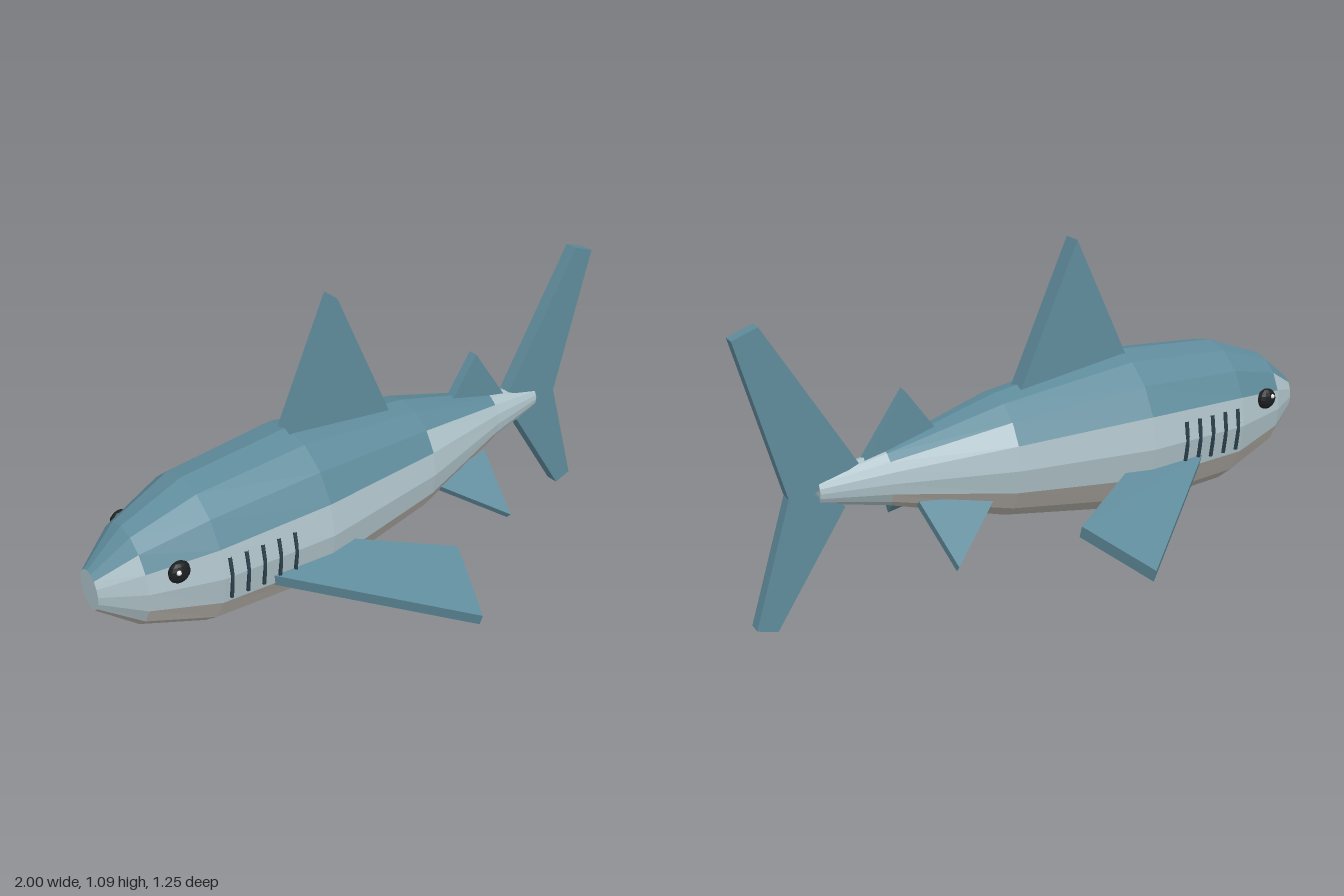
import * as THREE from 'three';

const mat = (name, color) => Object.assign(new THREE.MeshStandardMaterial({ color, flatShading: true }), { name });

// Body stations from nose to tail: x, half height, half width
const MID = 0.42;
const STATIONS = [
  [-1, 0, 0], [-1, 0.07, 0.05], [-0.88, 0.17, 0.13], [-0.67, 0.25, 0.205], [-0.29, 0.275, 0.235],
  [0.17, 0.203, 0.175], [0.55, 0.092, 0.07], [0.77, 0.04, 0.032], [0.77, 0, 0],
];
const SIDES = 16;

// Interpolated half width of the body at x
function halfWidth(x) {
  for (let i = 1; i < STATIONS.length - 2; i++) {
    const [x0, , w0] = STATIONS[i], [x1, , w1] = STATIONS[i + 1];
    if (x >= x0 && x <= x1) return w0 + (w1 - w0) * (x - x0) / (x1 - x0);
  }
  return 0;
}

// Faceted hull, each facet sorted into back, flank or belly by its height
function bodyGeometry() {
  const bands = [[], [], []];
  const point = ([x, h, w], k) => {
    const a = (k / SIDES) * Math.PI * 2;
    return [x, MID + h * Math.cos(a), w * Math.sin(a)];
  };
  const last = STATIONS.length - 2;
  for (let i = 0; i <= last; i++) {
    for (let k = 0; k < SIDES; k++) {
      const a = point(STATIONS[i], k), b = point(STATIONS[i], k + 1);
      const c = point(STATIONS[i + 1], k + 1), d = point(STATIONS[i + 1], k);
      const y = (a[1] + b[1] + c[1] + d[1]) / 4;
      const band = bands[y > 0.513 ? 0 : y > 0.35 ? 1 : 2];
      if (i < last) band.push(...a, ...c, ...d);
      if (i > 0) band.push(...a, ...b, ...c);
    }
  }
  const g = new THREE.BufferGeometry();
  g.setAttribute('position', new THREE.Float32BufferAttribute(bands.flat(), 3));
  let start = 0;
  bands.forEach((b, m) => {
    g.addGroup(start, b.length / 3, m);
    start += b.length / 3;
  });
  g.computeVertexNormals();
  return g;
}

// Flat plate of the given outline, centred on its own plane
function plate(points, thickness) {
  const shape = new THREE.Shape(points.map(([x, y]) => new THREE.Vector2(x, y)));
  return new THREE.ExtrudeGeometry(shape, { depth: thickness, bevelEnabled: false })
    .translate(0, 0, -thickness / 2);
}

export function createModel() {
  const group = new THREE.Group();
  const blue = mat('backBlue', 0x5f8b9b);
  const pale = mat('flankPaleBlue', 0xaec2c8);
  const belly = mat('bellyGrey', 0xb8b3ab);
  const slit = mat('gillDark', 0x2c414b);
  const black = mat('eyeBlack', 0x1c1f21);
  const white = mat('eyeGlint', 0xf4f4f4);

  const add = (name, geometry, material) => {
    const mesh = new THREE.Mesh(geometry, material);
    mesh.name = name;
    group.add(mesh);
    return mesh;
  };

  add('body', bodyGeometry(), [blue, pale, belly]);

  // Upright fins
  add('dorsalFin', plate([[-0.31, 0.67], [-0.1, 0.6], [0.09, 0.625], [-0.115, 1.085]], 0.064), blue);
  add('rearDorsalFin', plate([[0.38, 0.55], [0.5, 0.48], [0.62, 0.49], [0.48, 0.69]], 0.032), blue);
  add('tailFin', plate([
    [0.64, 0.49], [0.79, 0.42], [0.69, 0.36], [0.925, 0], [0.99, 0.02],
    [0.865, 0.42], [1, 0.925], [0.92, 0.955],
  ], 0.044), blue);

  // Paired fins: outlines are x, z, and droop is the angle below horizontal
  const sideFin = (name, outline, thickness, rootY, rootZ, droop, side) => {
    const points = outline.map(([x, z]) => [x, (z - rootZ) / Math.cos(droop)]);
    const fin = add(name, plate(points, thickness), blue);
    fin.rotation.x = side * (Math.PI / 2 + droop);
    fin.position.set(0, rootY, side * rootZ);
  };

  for (const side of [1, -1]) {
    const label = side > 0 ? 'front' : 'back';
    sideFin(label + 'PectoralFin', [[-0.5, 0.2], [-0.2, 0.2], [0.08, 0.38], [-0.03, 0.618]],
      0.042, 0.333, 0.2, 0.3, side);
    sideFin(label + 'PelvicFin', [[0.22, 0.1], [0.475, 0.075], [0.435, 0.258]],
      0.026, 0.342, 0.075, 0.7, side);

    // Gill slits hugging the flank
    for (let i = 0; i < 5; i++) {
      const x = -0.645 + i * 0.055, w = halfWidth(x);
      const path = new THREE.CatmullRomCurve3([[0.34, 0.95], [0.42, 0.995], [0.485, 0.953]]
        .map(([y, f]) => new THREE.Vector3(x, y, side * w * f)));
      add(label + 'Gill' + (i + 1), new THREE.TubeGeometry(path, 6, 0.007, 5), slit);
    }

    // Eye with a small glint
    const eye = add(label + 'Eye', new THREE.SphereGeometry(0.036, 12, 8), black);
    eye.scale.z = 0.6;
    eye.position.set(-0.795, 0.483, side * 0.163);
    const glint = add(label + 'EyeGlint', new THREE.SphereGeometry(0.008, 8, 6), white);
    glint.position.set(-0.806, 0.494, side * 0.181);
  }
  return group;
}
